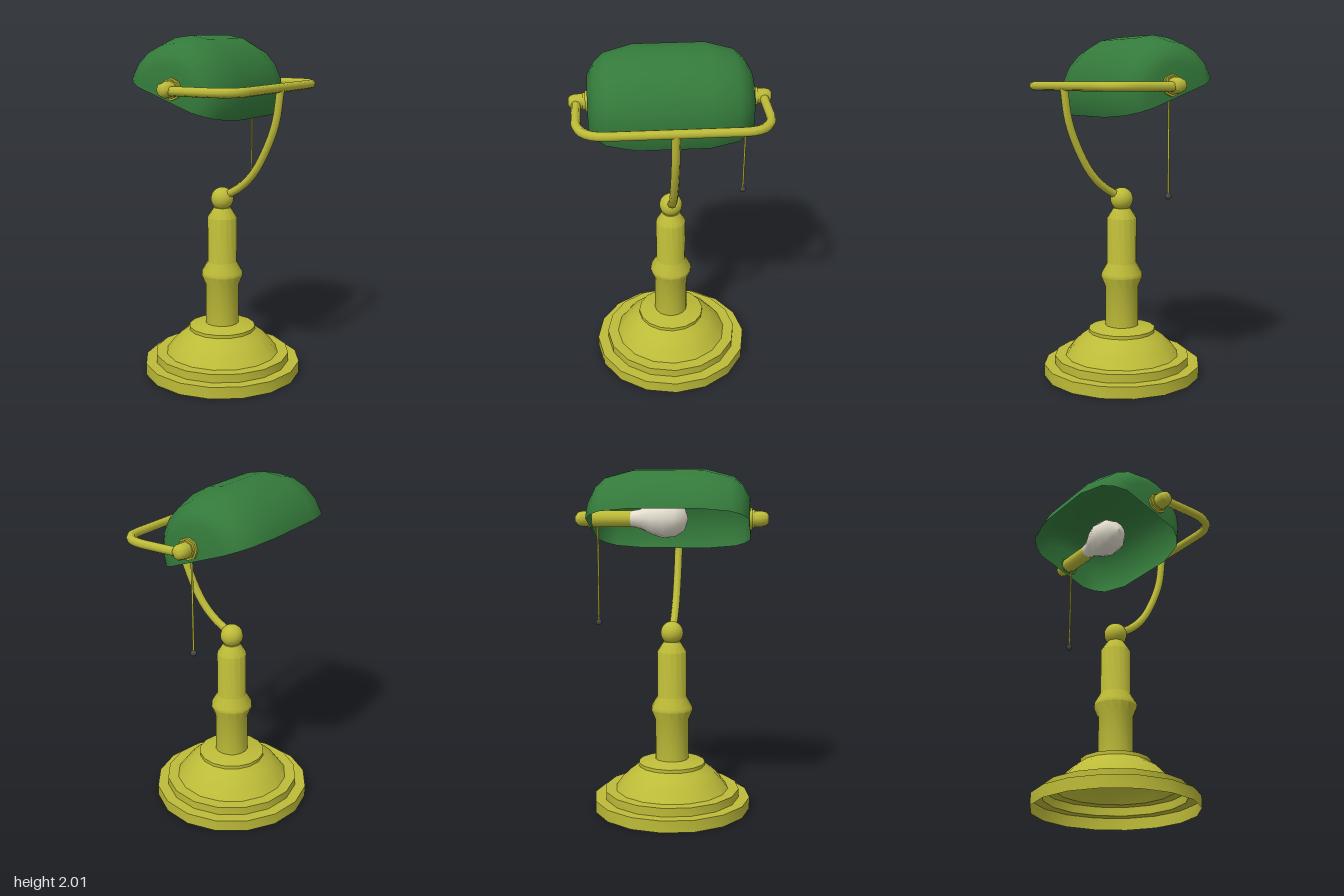
import * as THREE from 'three';
import { toCreasedNormals } from 'three/addons/utils/BufferGeometryUtils.js';

const brass = new THREE.MeshStandardMaterial({ color: 0xbdbb38, side: THREE.DoubleSide });
const green = new THREE.MeshStandardMaterial({ color: 0x347a3b, side: THREE.DoubleSide });
const glass = new THREE.MeshStandardMaterial({ color: 0xe6e0d0 });
const dark = new THREE.MeshStandardMaterial({ color: 0x4a4a4a });

const PIVOT = { x: -0.04, y: 1.73 };
const v3 = (x, y, z) => new THREE.Vector3(x, y, z);

function lathe(profile, sides, crease) {
  const geo = new THREE.LatheGeometry(profile.map(([r, y]) => new THREE.Vector2(r, y)), sides);
  return crease ? toCreasedNormals(geo, crease) : geo;
}

export function createModel() {
  const lamp = new THREE.Group();
  lamp.name = 'deskLamp';
  const add = (name, geo, mat, x = 0, y = 0, z = 0, parent = lamp) => {
    const mesh = new THREE.Mesh(geo, mat);
    mesh.name = name;
    mesh.position.set(x, y, z);
    parent.add(mesh);
    return mesh;
  };

  // Hollow stepped foot with a domed middle
  add('base', lathe([
    [0.47, 0], [0.47, 0.07], [0.405, 0.07], [0.405, 0.12], [0.34, 0.12],
    [0.3, 0.175], [0.25, 0.225], [0.2, 0.26], [0.2, 0.28], [0.1, 0.3],
  ], 16, 0.6), brass);

  // Turned column with a bulging ring, and the ball joint on top
  add('column', lathe([
    [0.1, 0.29], [0.1, 0.54], [0.125, 0.6], [0.122, 0.62],
    [0.088, 0.68], [0.088, 0.95], [0.05, 1.01], [0, 1.01],
  ], 16, 0.6), brass);
  add('ballJoint', new THREE.SphereGeometry(0.068, 16, 12), brass, 0, 1.063, 0);

  // Curved arm rising from the ball to the yoke
  const armPath = new THREE.CatmullRomCurve3([
    v3(0.02, 1.08, 0), v3(0.12, 1.14, 0), v3(0.21, 1.23, 0),
    v3(0.29, 1.37, 0), v3(0.35, 1.53, 0), v3(0.378, 1.72, 0),
  ]);
  add('arm', new THREE.TubeGeometry(armPath, 16, 0.024, 8), brass);

  // U-shaped yoke with rounded corners
  const yokePath = new THREE.CurvePath();
  const p = [
    v3(PIVOT.x, 0, -0.518), v3(0.185, 0, -0.518), v3(0.375, 0, -0.355),
    v3(0.375, 0, 0.355), v3(0.185, 0, 0.518), v3(PIVOT.x, 0, 0.518),
  ];
  yokePath.add(new THREE.LineCurve3(p[0], p[1]));
  yokePath.add(new THREE.QuadraticBezierCurve3(p[1], v3(0.375, 0, -0.518), p[2]));
  yokePath.add(new THREE.LineCurve3(p[2], p[3]));
  yokePath.add(new THREE.QuadraticBezierCurve3(p[3], v3(0.375, 0, 0.518), p[4]));
  yokePath.add(new THREE.LineCurve3(p[4], p[5]));
  add('yoke', new THREE.TubeGeometry(yokePath, 48, 0.026, 8), brass, 0, 1.724, 0);

  // Pivot knob with collars at each end of the shade
  const knobGeo = lathe([
    [0.062, 0.45], [0.062, 0.468], [0.052, 0.468], [0.052, 0.482], [0.045, 0.482],
    [0.045, 0.52], [0.037, 0.548], [0.02, 0.561], [0, 0.561],
  ], 8, 0.85);
  for (const side of [1, -1]) {
    const knob = add(side > 0 ? 'frontKnob' : 'backKnob', knobGeo, brass, PIVOT.x, PIVOT.y, 0);
    knob.rotation.x = side * Math.PI / 2;
  }

  // Half-round shade, open below and tilted about its length
  const half = [[0.34, 0.2], [0.298, 0.36], [0.247, 0.417], [0.18, 0.455], [0, 0.455]];
  const outline = [...half.map(([r, z]) => [r, -z]).reverse(), ...half]
    .map(([r, z]) => new THREE.Vector2(r, z));
  const shadeGeo = new THREE.LatheGeometry(outline, 10, -Math.PI / 2, Math.PI);
  shadeGeo.rotateX(-Math.PI / 2);
  add('shade', shadeGeo, green, -0.092, 1.67, 0).rotation.z = -0.349;

  // Bulb and its socket, lying along the shade
  const bulb = add('bulb', lathe([
    [0.045, -0.23], [0.055, -0.18], [0.09, -0.11], [0.11, -0.04],
    [0.1, 0.03], [0.065, 0.08], [0, 0.1],
  ], 12), glass, -0.05, PIVOT.y, 0);
  bulb.rotation.x = Math.PI / 2;
  const socket = add('socket', new THREE.CylinderGeometry(0.048, 0.048, 0.24, 12), brass,
    -0.045, PIVOT.y, -0.335);
  socket.rotation.x = Math.PI / 2;

  // Pull chain with a small bead
  add('pullChain', new THREE.CylinderGeometry(0.006, 0.006, 0.6, 8), brass, PIVOT.x, 1.43, -0.43);
  add('pullBead', new THREE.SphereGeometry(0.018, 10, 8), dark, PIVOT.x, 1.125, -0.43);

  return lamp;
}
